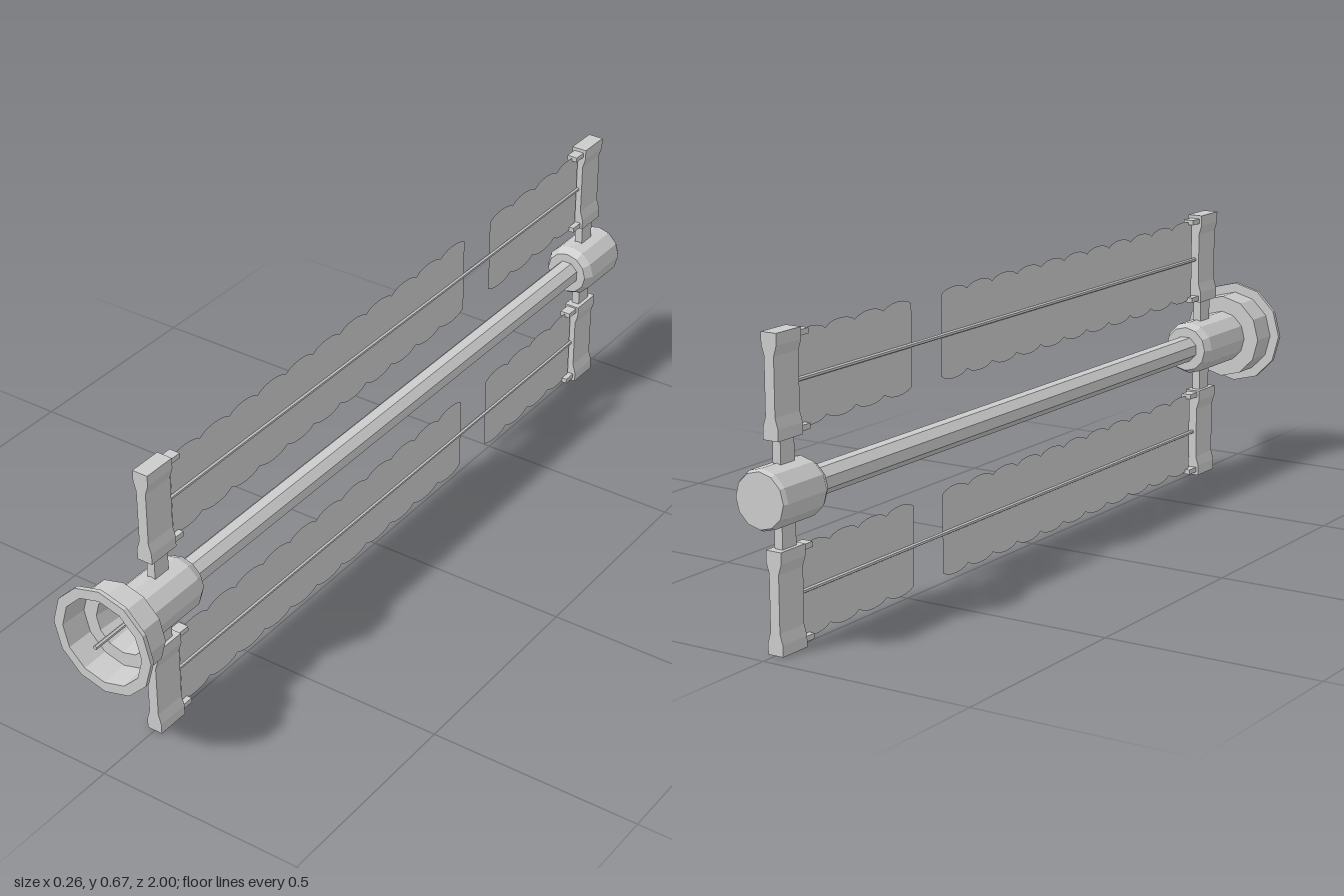
import * as THREE from 'three';

const AXIS_Y = 0.336;   // height of the central axis
const WING_Y = 0.222;   // offset of each wing from the axis

const grey = new THREE.MeshStandardMaterial({ color: 0xcccccc, flatShading: true });
const thin = new THREE.MeshStandardMaterial({ color: 0xcccccc, flatShading: true, side: THREE.DoubleSide });

function add(parent, name, geometry, x = 0, y = 0, z = 0, material = grey) {
  const mesh = new THREE.Mesh(geometry, material);
  mesh.name = name;
  mesh.position.set(x, y, z);
  parent.add(mesh);
  return mesh;
}

// Faceted solid turned around the z axis from [radius, z] pairs, rear to front
function turned(profile, sides) {
  const points = profile.map(([r, z]) => new THREE.Vector2(r, z));
  return new THREE.LatheGeometry(points, sides).rotateX(Math.PI / 2);
}

// Rod along z between two ends
function rodZ(radius, z0, z1, sides) {
  return new THREE.CylinderGeometry(radius, radius, z1 - z0, sides)
    .rotateX(Math.PI / 2).translate(0, 0, (z0 + z1) / 2);
}

// Upright bar, waisted between its thicker ends
function barGeometry() {
  const half = [[0.019, -0.11], [0.019, -0.085], [0.012, -0.062],
    [0.012, 0.062], [0.019, 0.085], [0.019, 0.11]];
  const outline = [...half, ...half.map(([x, y]) => [-x, y]).reverse()];
  const shape = new THREE.Shape(outline.map(([x, y]) => new THREE.Vector2(x, y)));
  return new THREE.ExtrudeGeometry(shape, { depth: 0.08, bevelEnabled: false }).translate(0, 0, -0.04);
}

// Flat panel with bowed ends, lying in the yz plane
function panelGeometry() {
  const w = 0.05, h = 0.09, tip = 0.106;
  const s = new THREE.Shape();
  s.moveTo(-w, -h);
  s.bezierCurveTo(-w * 0.6, -tip, w * 0.6, -tip, w, -h);
  s.lineTo(w, h);
  s.bezierCurveTo(w * 0.6, tip, -w * 0.6, tip, -w, h);
  s.closePath();
  return new THREE.ShapeGeometry(s, 6).rotateY(Math.PI / 2);
}

export function createModel() {
  const model = new THREE.Group();
  model.name = 'spacecraft';

  // Central body
  const body = new THREE.Group();
  body.name = 'body';
  body.position.y = AXIS_Y;
  model.add(body);

  const core = rodZ(0.0325, -0.87, 0.74, 8);
  core.rotateZ(Math.PI / 8);
  add(body, 'core', core);
  add(body, 'rearHub', turned([[0, -1], [0.06, -1], [0.065, -0.99], [0.065, -0.865],
    [0.053, -0.845], [0, -0.845]], 12));

  // Front hub opening into a stepped, flanged dish
  add(body, 'frontHub', turned([[0, 0.71], [0.055, 0.71], [0.065, 0.73], [0.065, 0.9],
    [0.104, 0.9], [0.104, 0.968], [0.128, 0.968], [0.128, 0.978], [0.104, 0.978],
    [0.1, 0.915], [0.067, 0.915], [0.058, 0.86], [0, 0.86]], 12));
  add(body, 'antenna', rodZ(0.005, 0.86, 1, 6));
  add(body, 'dishRib', new THREE.BoxGeometry(0.008, 0.116, 0.006), 0, 0, 0.863);

  const bar = barGeometry();
  const panel = panelGeometry();
  const mounts = [{ z: 0.79, inward: -1 }, { z: -0.92, inward: 1 }];

  // Upper and lower wings
  for (const side of [1, -1]) {
    const wing = new THREE.Group();
    wing.name = side > 0 ? 'upperWing' : 'lowerWing';
    wing.position.y = AXIS_Y + side * WING_Y;
    model.add(wing);

    add(wing, 'wingRod', rodZ(0.005, -0.88, 0.75, 6));

    for (const { z, inward } of mounts) {
      add(wing, 'endBar', bar, 0, side * 0.002, z);
      add(wing, 'strut', new THREE.BoxGeometry(0.02, 0.08, 0.045), 0, -side * 0.14, z);
      for (const end of [1, -1]) {
        add(wing, 'bracket', new THREE.BoxGeometry(0.026, 0.012, 0.035),
          0, end * 0.098, z + inward * 0.055);
      }
    }

    // A run of eleven panels, a gap, then a run of four
    for (const [start, count] of [[0.735, 11], [-0.475, 4]]) {
      for (let i = 0; i < count; i++) {
        add(wing, 'panel', panel, 0, 0, start - 0.05 - i * 0.1, thin);
      }
    }
  }

  return model;
}
